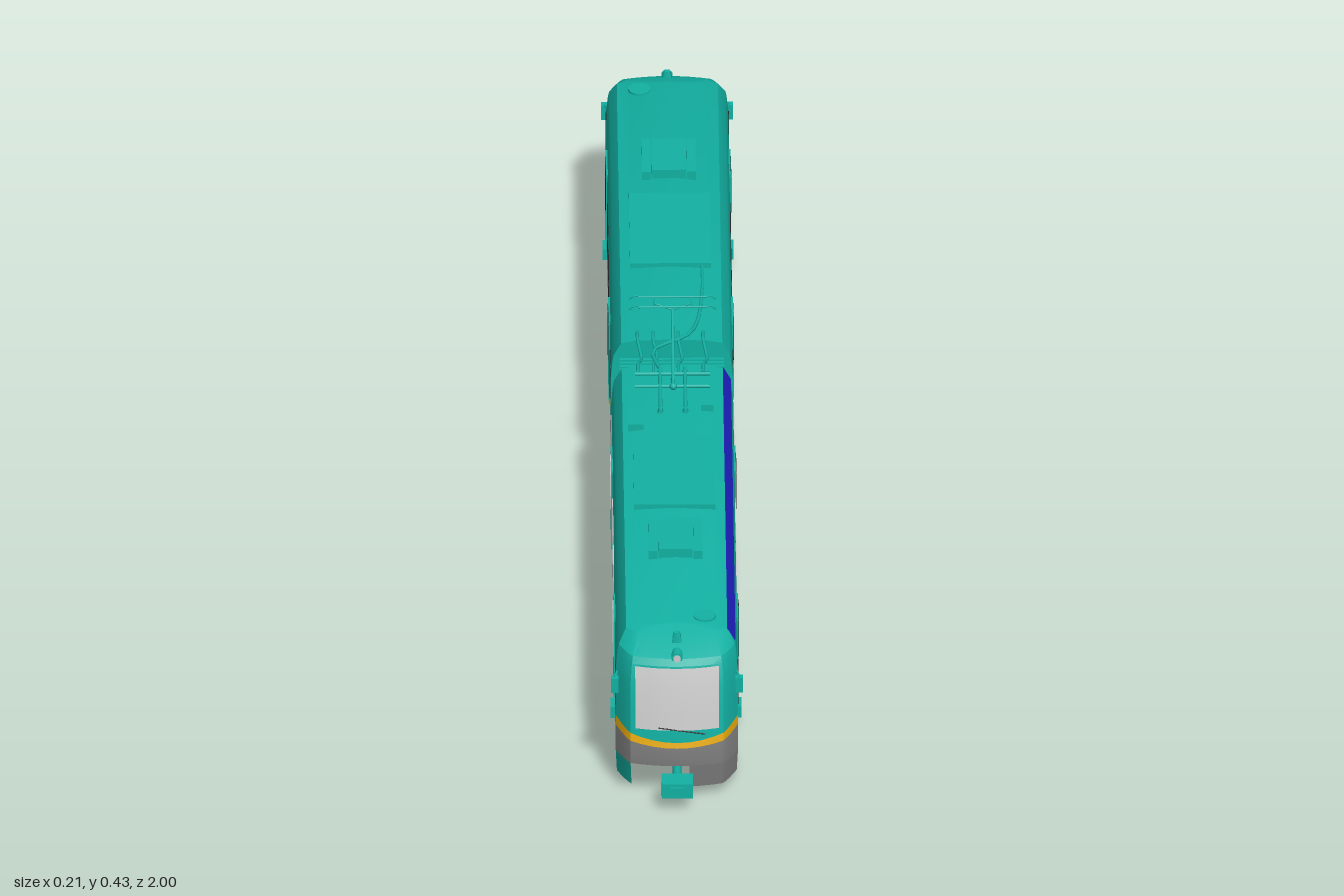
import * as THREE from 'three';
import { toCreasedNormals } from 'three/addons/utils/BufferGeometryUtils.js';

const TEAL = 0x12b0a2, GREY = 0x858585, ORANGE = 0xe3a70c, BLUE = 0x1f1fc0, DARK = 0x222222, LIGHT = 0xcccccc;
const mats = new Map();
function mat(color) {
  if (!mats.has(color)) mats.set(color, new THREE.MeshStandardMaterial({ color, side: THREE.DoubleSide }));
  return mats.get(color);
}
function add(parent, name, geo, color = TEAL, x = 0, y = 0, z = 0) {
  const m = new THREE.Mesh(geo, mat(color));
  m.name = name;
  m.position.set(x, y, z);
  parent.add(m);
  return m;
}
const box = (w, h, d) => new THREE.BoxGeometry(w, h, d);
function rod(parent, name, a, b, r = 0.002, color = TEAL) {
  const A = new THREE.Vector3(...a), B = new THREE.Vector3(...b);
  const m = add(parent, name, new THREE.CylinderGeometry(r, r, A.distanceTo(B), 8), color);
  m.position.copy(A).add(B).multiplyScalar(0.5);
  m.quaternion.setFromUnitVectors(new THREE.Vector3(0, 1, 0), B.sub(A).normalize());
}
function pipe(parent, name, pts, r = 0.002) {
  const c = new THREE.CatmullRomCurve3(pts.map(p => new THREE.Vector3(...p)));
  add(parent, name, new THREE.TubeGeometry(c, 16, r, 6));
}

// Body levels: height, half width, nose z, share of the nose setback
const LEVELS = [
  [0.02, 0.096, 0.945, 1], [0.065, 0.098, 0.957, 1], [0.107, 0.098, 0.963, 1], [0.205, 0.098, 0.947, 1], [0.238, 0.095, 0.938, 1],
  [0.248, 0.093, 0.93, 0.9], [0.27, 0.081, 0.885, 0.35], [0.274, 0.06, 0.868, 0.1], [0.277, 0, 0.862, 0],
];
function level(y) {
  let i = 1;
  while (i < LEVELS.length - 1 && LEVELS[i][0] < y) i++;
  const a = LEVELS[i - 1], b = LEVELS[i], k = (y - a[0]) / (b[0] - a[0]);
  const [w, zf, share] = [1, 2, 3].map(n => a[n] + (b[n] - a[n]) * k);
  return { w, zf, share };
}
// Nose z: nearly flat in the middle, chamfered at the corners
function noseZ(t, { zf, share }) {
  return zf - share * (t < 0.76 ? 0.011 * (t / 0.76) ** 2 : 0.011 + 0.043 * ((t - 0.76) / 0.24) ** 1.25);
}
// Grid surface from columns and rows
function grid(cols, rows, fn) {
  const pos = [], idx = [], n = cols.length;
  rows.forEach(r => cols.forEach(c => pos.push(...fn(c, r))));
  for (let j = 0; j < rows.length - 1; j++) for (let i = 0; i < n - 1; i++) {
    const a = j * n + i, b = a + n;
    idx.push(a, a + 1, b + 1, a, b + 1, b);
  }
  const g = new THREE.BufferGeometry();
  g.setAttribute('position', new THREE.Float32BufferAttribute(pos, 3));
  g.setIndex(idx);
  return toCreasedNormals(g, 0.35);
}
const T = [1, 0.95, 0.88, 0.82, 0.76, 0.6, 0.4, 0.2];
const NOSE = [...T.map(t => ({ u: -t })), { u: 0 }, ...T.map(t => ({ u: t })).reverse()];
const sideCols = (s, z0) => s > 0 ? [{ u: 1 }, { u: 1, z: z0 }] : [{ u: -1, z: z0 }, { u: -1 }];
// Skin point: rows are [height, dip at the middle of the nose]
function skin(c, [y, dip = 0]) {
  const l = level(y), t = Math.abs(c.u);
  return [l.w * c.u, y - dip * (1 - t * t), c.z ?? noseZ(t, l)];
}
function pane(w, h, r) {
  const s = new THREE.Shape(), a = w / 2, b = h / 2;
  s.moveTo(-a + r, -b).lineTo(a - r, -b).quadraticCurveTo(a, -b, a, -b + r).lineTo(a, b - r)
    .quadraticCurveTo(a, b, a - r, b).lineTo(-a + r, b).quadraticCurveTo(-a, b, -a, b - r)
    .lineTo(-a, -b + r).quadraticCurveTo(-a, -b, -a + r, -b);
  return new THREE.ExtrudeGeometry(s, { depth: 0.0015, bevelEnabled: false, curveSegments: 4 });
}
// Flat panel lying in a side plane, from [z, y] corners
function sidePanel(corners, depth) {
  const s = new THREE.Shape(corners.map(([z, y]) => new THREE.Vector2(-z, y)));
  return new THREE.ExtrudeGeometry(s, { depth, bevelEnabled: false }).rotateY(Math.PI / 2);
}

function makeBogie(z) {
  const g = new THREE.Group();
  g.name = 'bogie';
  g.position.z = z;
  for (const dz of [-0.078, 0.078]) {
    rod(g, 'axle', [-0.07, 0.03, dz], [0.07, 0.03, dz], 0.006);
    for (const s of [-1, 1]) {
      add(g, 'wheel', new THREE.CylinderGeometry(0.026, 0.026, 0.01, 24).rotateZ(Math.PI / 2), TEAL, s * 0.053, 0.03, dz);
      add(g, 'wheelFlange', new THREE.CylinderGeometry(0.03, 0.03, 0.003, 24).rotateZ(Math.PI / 2), TEAL, s * 0.047, 0.03, dz);
      add(g, 'axleBox', box(0.014, 0.024, 0.03), TEAL, s * 0.068, 0.034, dz);
    }
  }
  for (const s of [-1, 1]) {
    add(g, 'sideFrame', box(0.012, 0.016, 0.2), TEAL, s * 0.07, 0.047, 0);
    add(g, 'trackBrake', box(0.01, 0.01, 0.07), TEAL, s * 0.052, 0.017, 0);
    add(g, 'spring', new THREE.CylinderGeometry(0.013, 0.013, 0.025, 12), TEAL, s * 0.068, 0.062, 0);
    add(g, 'endBeam', box(0.112, 0.01, 0.008), TEAL, 0, 0.016, s * 0.114);
    for (const x of [-0.05, 0.05]) add(g, 'beamHanger', box(0.008, 0.04, 0.008), TEAL, x, 0.036, s * 0.11);
    add(g, 'motor', box(0.06, 0.026, 0.032), TEAL, 0, 0.038, s * 0.038);
  }
  add(g, 'bolster', box(0.13, 0.02, 0.04), TEAL, 0, 0.058, 0);
  return g;
}

function makeCar(front) {
  const g = new THREE.Group();
  g.name = front ? 'frontCar' : 'rearCar';
  const Z0 = 0.04, stripe = [[0.115, 0.015], [0.131, 0.022]], belt = [[0.065], [0.09, 0.008], [0.115, 0.015]];

  // Shell, stripe and lower belt
  const upper = [[0.131, 0.022], [0.155, 0.004], ...LEVELS.slice(3).map(l => [l[0]])];
  add(g, 'upperShell', grid([{ u: -1, z: Z0 }, ...NOSE, { u: 1, z: Z0 }], upper, skin));
  add(g, 'noseStripe', grid(NOSE, stripe, skin), ORANGE);
  add(g, 'noseBelt', grid(NOSE, belt, skin), front ? GREY : TEAL);
  for (const s of [-1, 1]) {
    const painted = front || s > 0;
    add(g, 'sideStripe', grid(sideCols(s, Z0), stripe, skin), painted ? ORANGE : TEAL);
    add(g, 'sideBelt', grid(sideCols(s, Z0), belt, skin), painted ? GREY : TEAL);
    // Apron at the nose, open around the coupler
    const apron = NOSE.filter(c => c.u * s >= (s > 0 ? 0.2 : 0.75));
    add(g, 'apronFront', grid(apron, [[0.02], [0.065]], skin), front && s > 0 ? GREY : TEAL);
    add(g, 'apronSide', grid(sideCols(s, 0.83), [[0.02], [0.065]], skin));
    // Skirt between the bogies
    add(g, 'skirt', sidePanel([[0.11, 0.068], [0.12, 0.026], [0.56, 0.026], [0.575, 0.068]], 0.006), TEAL, s * 0.093 - 0.003);

    // Windows and doors
    const glass = front ? LIGHT : DARK, doorGlass = front && s < 0 ? LIGHT : DARK;
    const onSide = (name, w, h, color, z, x = 0.0975) =>
      add(g, name, pane(w, h, Math.min(w, h) * 0.2).rotateY(s * Math.PI / 2), color, s * x, 0.176, z);
    onSide('sideWindow', 0.115, 0.066, glass, 0.543);
    onSide('sideWindow', 0.115, 0.066, glass, 0.398);
    onSide('sideWindow', 0.056, 0.066, glass, 0.104);
    for (const z of [0.708, 0.238]) {
      add(g, 'door', box(0.003, 0.145, 0.08), TEAL, s * 0.0985, 0.145, z);
      for (const dz of [-0.021, 0.021]) onSide('doorWindow', 0.025, 0.07, doorGlass, z + dz, 0.0995);
    }
    add(g, 'cabSideWindow', sidePanel([[0.862, 0.145], [0.897, 0.145], [0.886, 0.208], [0.862, 0.208]], 0.002), DARK, s * 0.098 - 0.001);
    add(g, 'mirror', box(0.012, 0.026, 0.012), TEAL, s * 0.1, 0.193, 0.914);
    rod(g, 'mirrorArm', [s * 0.094, 0.207, 0.89], [s * 0.1, 0.205, 0.914]);
    add(g, 'sandBox', box(0.016, 0.02, 0.03), TEAL, s * 0.097, 0.042, 0.73);
  }
  // Rear wall and floor
  const wall = new THREE.Shape([...LEVELS.slice(1).map(l => new THREE.Vector2(l[1], l[0])),
    ...LEVELS.slice(1, -1).reverse().map(l => new THREE.Vector2(-l[1], l[0]))]);
  add(g, 'rearWall', new THREE.ExtrudeGeometry(wall, { depth: 0.004, bevelEnabled: false }), TEAL, 0, 0, Z0);
  add(g, 'floor', box(0.19, 0.006, 0.85), TEAL, 0, 0.069, Z0 + 0.425);

  // Windscreen, wiper, headlight and horn
  const xs = [-1, -0.7, -0.4, 0, 0.4, 0.7, 1].map(k => k * 0.067);
  add(g, 'windscreen', grid(xs, [0.133, 0.16, 0.205, 0.236], (x, y) => {
    const l = level(y);
    return [x, y, noseZ(Math.abs(x / l.w), l) + 0.0025];
  }), front ? LIGHT : DARK);
  rod(g, 'wiper', [-0.03, 0.138, 0.961], [0.045, 0.126, 0.96], 0.001, DARK);
  add(g, 'headlight', new THREE.CylinderGeometry(0.009, 0.009, 0.02, 20).rotateX(Math.PI / 2), TEAL, 0, 0.25, 0.922);
  add(g, 'headlightLens', new THREE.CylinderGeometry(0.006, 0.006, 0.002, 20).rotateX(Math.PI / 2), LIGHT, 0, 0.25, 0.933);
  add(g, 'horn', new THREE.CylinderGeometry(0.006, 0.011, 0.016, 4, 1).rotateY(Math.PI / 4), TEAL, 0, 0.27, 0.895);

  // Coupler
  add(g, 'couplerHead', box(0.05, 0.026, 0.035), TEAL, 0, 0.042, 0.9805);
  add(g, 'couplerFace', box(0.024, 0.014, 0.004), TEAL, 0, 0.042, 0.998);
  rod(g, 'couplerBar', [0, 0.042, 0.83], [0, 0.042, 0.97], 0.007);

  // Roof equipment
  add(g, 'roofPod', box(0.13, 0.013, 0.225), TEAL, 0, 0.2765, 0.385);
  add(g, 'airUnit', box(0.055, 0.018, 0.1), TEAL, 0, 0.283, 0.605);
  for (const s of [-1, 1]) add(g, 'airUnitRail', box(0.014, 0.018, 0.106), TEAL, s * 0.036, 0.281, 0.605);
  add(g, 'antenna', new THREE.CylinderGeometry(0.018, 0.018, 0.004, 20), TEAL, 0.045, 0.2755, 0.84);
  g.add(makeBogie(0.692));
  return g;
}

function makePantograph() {
  const g = new THREE.Group();
  g.name = 'pantograph';
  for (const s of [-1, 1]) {
    rod(g, 'baseRail', [s * 0.02, 0.283, 0.06], [s * 0.02, 0.283, 0.2], 0.003);
    for (const z of [0.07, 0.19]) add(g, 'insulator', new THREE.CylinderGeometry(0.004, 0.006, 0.014, 10), TEAL, s * 0.02, 0.277, z);
    rod(g, 'headBracket', [0, 0.413, 0.1], [s * 0.03, 0.425, 0.1], 0.0015);
    rod(g, 'headTie', [s * 0.03, 0.427, 0.085], [s * 0.03, 0.427, 0.117], 0.0015);
  }
  for (const z of [0.08, 0.12]) rod(g, 'baseBeam', [-0.06, 0.283, z], [0.06, 0.283, z], 0.003);
  rod(g, 'lowerArm', [0, 0.282, 0.095], [0, 0.348, 0.232], 0.003);
  rod(g, 'lowerLink', [0, 0.282, 0.12], [0, 0.34, 0.225], 0.0015);
  add(g, 'knee', new THREE.SphereGeometry(0.006, 12, 8), TEAL, 0, 0.348, 0.232);
  rod(g, 'upperArm', [0, 0.348, 0.232], [0, 0.413, 0.1], 0.0025);
  for (const z of [0.085, 0.117]) {
    rod(g, 'contactStrip', [-0.055, 0.428, z], [0.055, 0.428, z], 0.0018);
    for (const s of [-1, 1]) pipe(g, 'headHorn', [[s * 0.055, 0.43, z], [s * 0.063, 0.429, z], [s * 0.07, 0.423, z]], 0.0012);
  }
  return g;
}

export function createModel() {
  const model = new THREE.Group();
  model.name = 'articulatedTram';
  const frontCar = makeCar(true), rearCar = makeCar(false);
  rearCar.rotation.y = Math.PI;
  model.add(frontCar, rearCar, makeBogie(0), makePantograph());

  // Blue edge lying on the roof chamfer
  add(model, 'roofEdgeBand', box(0.002, 0.025, 0.83), BLUE, 0.0874, 0.2592, 0.455).rotation.z = 0.5;

  // Bellows at the joint, with roof cables
  add(model, 'bellowsCore', box(0.155, 0.17, 0.08), TEAL, 0, 0.155, 0);
  for (let i = -3; i <= 3; i++) add(model, 'bellowsFold', box(0.168, 0.18, 0.006), TEAL, 0, 0.155, i * 0.011);
  add(model, 'turntable', new THREE.CylinderGeometry(0.06, 0.06, 0.012, 24), TEAL, 0, 0.064, 0);
  for (const x of [-0.055, -0.03, 0.01, 0.05])
    pipe(model, 'roofCable', [[x, 0.277, 0.075], [x, 0.278, 0.04], [x + 0.006, 0.265, 0], [x, 0.278, -0.04], [x, 0.277, -0.065]], 0.0025);
  add(model, 'junctionBox', box(0.025, 0.014, 0.05), TEAL, -0.06, 0.278, 0.22);
  add(model, 'arrester', box(0.02, 0.016, 0.03), TEAL, 0.055, 0.278, 0.17);
  pipe(model, 'powerCable', [[-0.02, 0.28, 0.06], [-0.03, 0.28, 0], [0.03, 0.278, -0.06], [0.05, 0.277, -0.2], [0.05, 0.277, -0.28]], 0.003);
  return model;
}
